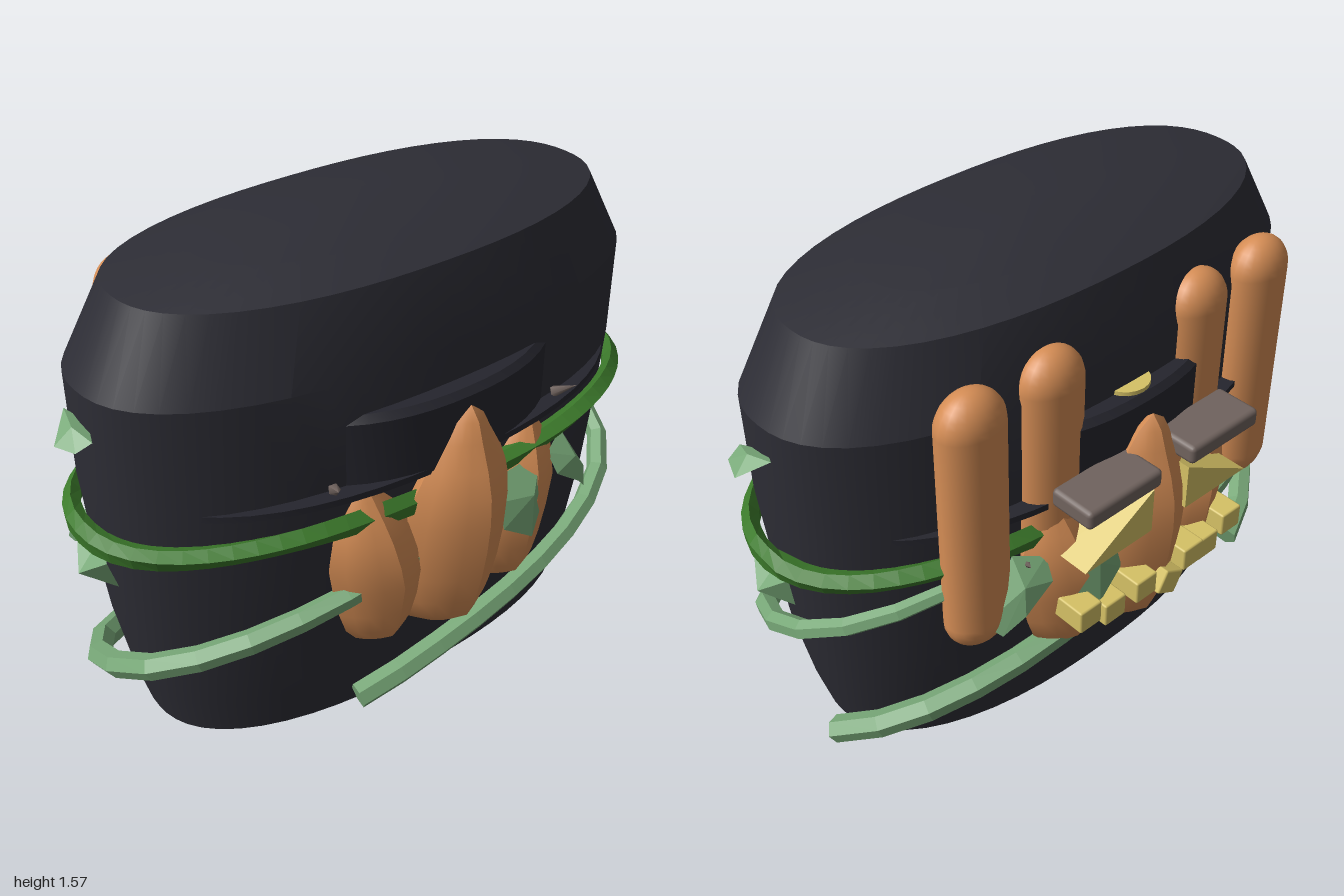
import * as THREE from 'three';
import { toCreasedNormals } from 'three/addons/utils/BufferGeometryUtils.js';
import { RoundedBoxGeometry } from 'three/addons/geometries/RoundedBoxGeometry.js';

const mat = (name, color, side = THREE.FrontSide) => {
  const m = new THREE.MeshStandardMaterial({ color, side });
  m.name = name;
  return m;
};
const M = {
  shell: mat('charcoal', 0x2d2d35),
  hat: mat('black', 0x25252d),
  orange: mat('orange', 0xd58d55),
  vine: mat('dark green', 0x3c7a2b),
  leaf: mat('light green', 0x78a878, THREE.DoubleSide),
  yellow: mat('yellow', 0xd6c266),
  brown: mat('brown', 0x70635e),
};

// Move every vertex of a geometry by a rule
function warp(geo, rule) {
  const p = geo.attributes.position, v = new THREE.Vector3();
  for (let i = 0; i < p.count; i++) {
    v.fromBufferAttribute(p, i);
    rule(v, i);
    p.setXYZ(i, v.x, v.y, v.z);
  }
  return geo;
}
const flat = (geo) => {
  const g = geo.index ? geo.toNonIndexed() : geo;
  g.computeVertexNormals();
  return g;
};
const lathe = (rows, segs) => new THREE.LatheGeometry(rows.map(([y, r]) => new THREE.Vector2(r, y)), segs);

// Rounded-oval factor for a direction in plan
const oval = (c, s, n = 2.3) => 1 / Math.pow(Math.abs(c) ** n + Math.abs(s) ** n, 1 / n);
const ovalPoint = (a, y, rx, rz) => {
  const f = oval(Math.cos(a), Math.sin(a));
  return new THREE.Vector3(rx * Math.cos(a) * f, y, rz * Math.sin(a) * f + 0.01);
};

// Oval solid from rows of [y, radius along x]; depth is a share of the width
function ovalSolid(rows, depth, crease = 0.3) {
  const g = warp(lathe(rows, 56), (v) => {
    const r = Math.hypot(v.x, v.z);
    if (r < 1e-6) return;
    const f = oval(v.x / r, v.z / r);
    v.x *= f;
    v.z = v.z * f * depth + 0.01;
  });
  return toCreasedNormals(g, crease);
}

// Pumpkin lobe with a soft front ridge, leaning by a rule
function lobe(rows, depth, lean) {
  const g = warp(lathe(rows, 16), (v) => {
    const r = Math.hypot(v.x, v.z);
    if (r > 1e-6) {
      const k = Math.pow((Math.abs(v.x) + Math.abs(v.z)) / r, -0.5);
      v.x *= k;
      v.z *= k * depth;
    }
    lean(v);
  });
  return toCreasedNormals(g, 0.6);
}

// Faceted tube with tapered, capped ends
function vineTube(points, segs, r0, r1) {
  const curve = new THREE.CatmullRomCurve3(points), sides = 6;
  const g = new THREE.TubeGeometry(curve, segs, r0, sides, false);
  return flat(warp(g, (v, i) => {
    const ring = Math.floor(i / (sides + 1));
    const at = Math.min(Math.max(ring, 1), segs - 1);
    const c = curve.getPointAt(at / segs);
    if (ring !== at) v.copy(c);
    else v.sub(c).multiplyScalar(1 + (r1 / r0 - 1) * (at / segs) ** 2).add(c);
  }));
}

// Folded leaf: a fan of corners around a raised middle
function leafFan(corners, middle) {
  const pos = [];
  corners.forEach((c, i) => pos.push(...middle, ...c, ...corners[(i + 1) % corners.length]));
  const g = new THREE.BufferGeometry();
  g.setAttribute('position', new THREE.Float32BufferAttribute(pos, 3));
  return flat(g);
}

export function createModel() {
  const model = new THREE.Group();
  model.name = 'vinePack';
  const add = (name, geo, material, x = 0, y = 0, z = 0) => {
    const m = new THREE.Mesh(geo, material);
    m.name = name;
    m.position.set(x, y, z);
    model.add(m);
    return m;
  };

  // Main shell
  add('shell', ovalSolid([[0.005, 0], [0.07, 0.79], [0.2, 0.825], [0.45, 0.872], [0.7, 0.9],
    [0.95, 0.92], [1.26, 0.92], [1.485, 0.79], [1.53, 0.55], [1.57, 0]], 0.452), M.shell);

  // Hat band running through the shell: brim, crown and its trim
  add('hatBrim', ovalSolid([[0.92, 0], [0.92, 0.86], [0.94, 0.86], [0.94, 0]], 0.55), M.hat);
  add('hatCrown', ovalSolid([[0.93, 0], [0.93, 0.56], [1.13, 0.56], [1.15, 0.54], [1.15, 0]], 0.855), M.hat);
  const knob = new THREE.CylinderGeometry(0.075, 0.075, 0.03, 20);
  add('hatButton', knob, M.yellow, 0, 1.148, -0.375);

  // Pumpkins on front and back
  const middle = [[0.275, 0], [0.31, 0.07], [0.37, 0.145], [0.45, 0.175], [0.55, 0.19], [0.65, 0.195],
    [0.75, 0.19], [0.84, 0.172], [0.92, 0.135], [1.0, 0.085], [1.06, 0.05], [1.1, 0]];
  const outer = [[0.36, 0], [0.385, 0.09], [0.43, 0.125], [0.5, 0.148], [0.6, 0.17], [0.68, 0.168],
    [0.76, 0.14], [0.82, 0.1], [0.88, 0.05], [0.935, 0]];
  for (const s of [1, -1]) {
    const side = s > 0 ? 'front' : 'back';
    add(side + 'PumpkinMiddle', lobe(middle, 0.76, (v) => { v.z += s * (0.4 + 0.11 * (v.y - 0.28)); }), M.orange);
    for (const k of [1, -1]) {
      add(side + 'PumpkinLobe', lobe(outer, 0.66, (v) => {
        v.x += k * (0.245 + 0.06 * Math.max(0, v.y - 0.6) / 0.33);
        v.z += s * 0.41;
      }), M.orange);
    }

    // Hanging leaves beside each pumpkin
    add(side + 'LeafLarge', leafFan([[0.16, 0.79, s * 0.47], [0.32, 0.8, s * 0.46], [0.335, 0.66, s * 0.48],
      [0.23, 0.57, s * 0.54], [0.13, 0.63, s * 0.52], [0.12, 0.72, s * 0.5]], [0.23, 0.72, s * 0.535]), M.leaf);
    add(side + 'LeafSmall', leafFan([[0.36, 0.77, s * 0.45], [0.45, 0.8, s * 0.41], [0.565, 0.62, s * 0.42],
      [0.53, 0.58, s * 0.46], [0.47, 0.64, s * 0.49], [0.37, 0.71, s * 0.49]], [0.46, 0.73, s * 0.475]), M.leaf);

    // Thin leaves at the sides
    add('sideLeafUpper', leafFan([[s * 0.9, 1.16, 0.02], [s * 0.93, 1.15, 0.1], [s * 0.975, 1.13, 0.09],
      [s * 1.0, 1.125, 0.02], [s * 0.93, 1.18, -0.05]], [s * 0.95, 1.17, 0.03]), M.leaf);
    add('sideLeafLower', leafFan([[s * 0.9, 0.8, 0.02], [s * 0.94, 0.77, 0.11], [s * 0.9, 0.65, 0.08],
      [s * 0.92, 0.66, -0.04], [s * 0.94, 0.78, -0.06]], [s * 0.99, 0.71, 0.03]), M.leaf);
  }

  // Carved face on the back pumpkin
  for (const k of [1, -1]) {
    add('brow', new RoundedBoxGeometry(0.28, 0.06, 0.15, 2, 0.015), M.brown, k * 0.2, 0.97, -0.52);
    const tri = new THREE.Shape([[0.07, 0.77], [0.33, 0.77], [0.07, 0.92]].map(([x, y]) => new THREE.Vector2(k * x, y)));
    add('eye', new THREE.ExtrudeGeometry(tri, { depth: 0.13, bevelEnabled: false }), M.yellow, 0, 0, -0.575);
  }
  for (let i = -3; i <= 3; i++) {
    const tooth = add('tooth', new RoundedBoxGeometry(0.082, 0.078, 0.13, 1, 0.006), M.yellow,
      i * 0.1, i % 2 ? 0.58 : 0.54, Math.abs(i) < 2 ? -0.535 : -0.51);
    if (i === 0) tooth.rotation.z = 0.5;
    if (i === 0) tooth.position.z = -0.54;
  }

  // Four flattened canisters on the back
  for (const x of [-0.55, -0.28, 0.28, 0.55]) {
    const c = add('canister', new THREE.CapsuleGeometry(0.105, 0.65, 8, 20), M.orange, x, 0.96, -0.375);
    c.scale.z = 0.72;
  }

  // Ragged dark vine belt
  const loop = [];
  for (let i = 0; i < 32; i++) loop.push(ovalPoint((i / 32) * Math.PI * 2, 0.825, 0.945, 0.44));
  const belt = new THREE.CatmullRomCurve3(loop, true), rings = 72, sides = 5;
  const beltGeo = new THREE.TubeGeometry(belt, rings, 0.033, sides, true);
  add('vineBelt', flat(warp(beltGeo, (v, i) => {
    const ring = Math.floor(i / (sides + 1)) % rings, j = (i % (sides + 1)) % sides;
    const c = belt.getPointAt(ring / rings);
    v.sub(c).multiplyScalar(1 + 0.22 * Math.sin(ring * 12.9 + j * 4.1)).add(c);
  })), M.vine);

  // Three climbing vines, each winding half way round
  for (const start of [120, 0, -120]) {
    const pts = [];
    for (let i = 0; i <= 12; i++) {
      const t = i / 12, a = THREE.MathUtils.degToRad(start - 180 * t);
      const grow = 0.025 * Math.min(1, t * 2);
      pts.push(ovalPoint(a, 0.12 + 0.66 * t, 0.915 + grow, 0.425 + grow));
    }
    add('climbingVine', vineTube(pts, 16, 0.041, 0.022), M.leaf);
  }

  // Small thorns around the belt
  for (const s of [1, -1]) for (const k of [1, -1]) {
    const t = add('thorn', new THREE.ConeGeometry(0.018, 0.08, 5), M.brown, k * 0.42, s > 0 ? 0.97 : 0.77, s * 0.44);
    t.rotation.set(s * 1.0, 0, -k * 0.4);
  }
  return model;
}
